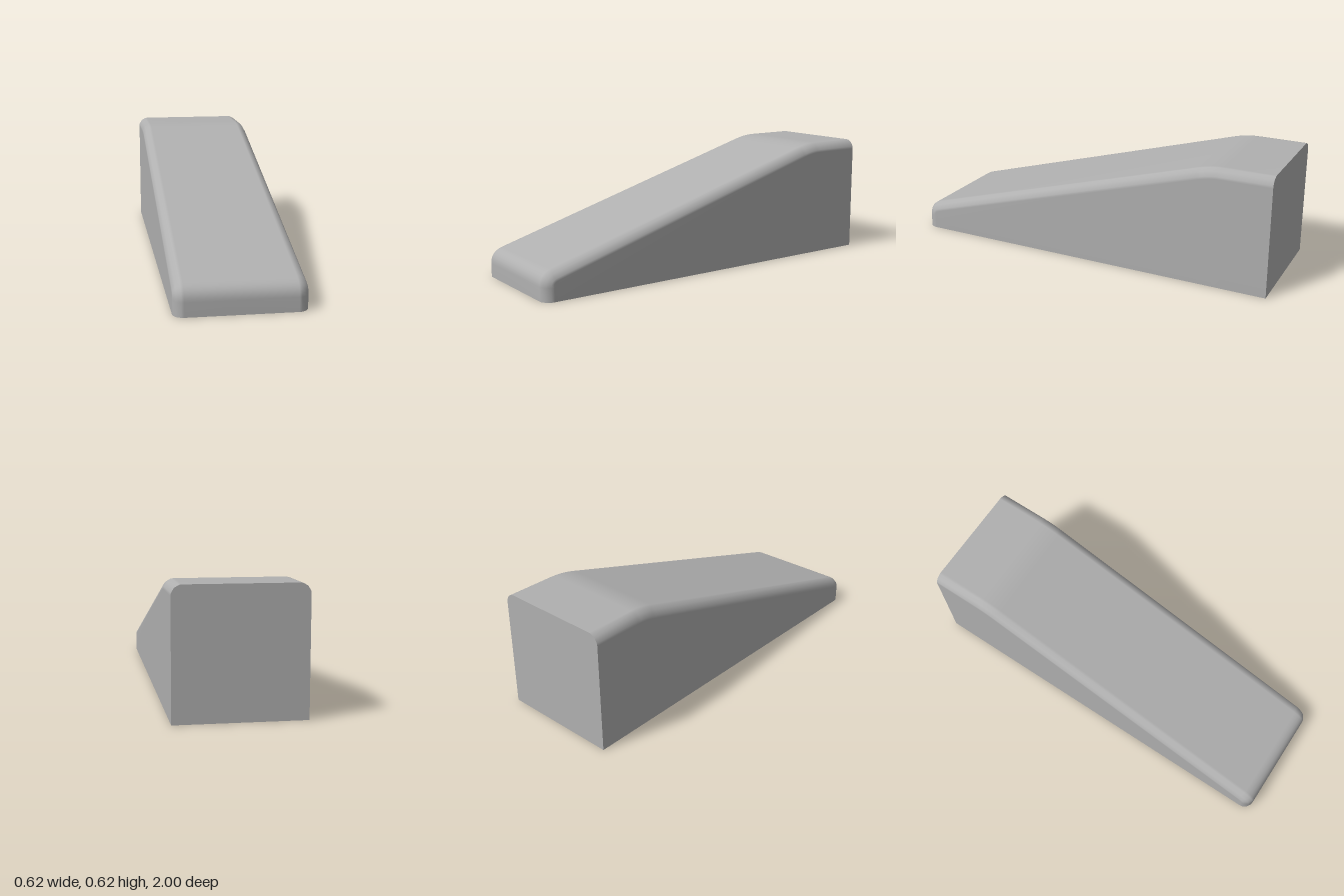
import * as THREE from 'three';

const W = 0.312, R = 0.05; // half width, edge rounding

// Side profile (z, y): front foot, rounded nose, long ramp, rounded crest, flat heel
function profilePoints() {
  const v = (z, y) => new THREE.Vector2(z, y);
  const nose = new THREE.QuadraticBezierCurve(v(1, 0.07), v(1, 0.131), v(0.937, 0.15));
  const crest = new THREE.QuadraticBezierCurve(v(-0.61, 0.6), v(-0.679, 0.62), v(-0.74, 0.62));
  const pts = [{ p: v(1, 0), t: v(0, 1) }];
  for (const c of [nose, crest]) {
    for (let i = 0; i <= 6; i++) pts.push({ p: c.getPoint(i / 6), t: c.getTangent(i / 6) });
  }
  pts.push({ p: v(-1, 0.62), t: v(-1, 0) });
  return pts;
}

export function createModel() {
  const group = new THREE.Group();
  const grey = new THREE.MeshStandardMaterial({ color: 0xb0b0b0, side: THREE.DoubleSide });
  grey.name = 'grey';

  // Each column across the width: x and inward offset of the profile
  const half = [0, 15, 45, 75, 90].map((deg) => {
    const a = THREE.MathUtils.degToRad(deg);
    return { x: W - R + R * Math.cos(a), inset: R * (1 - Math.sin(a)) };
  });
  half.unshift({ x: W, inset: R, floor: true });
  const columns = [
    ...half.map((c) => ({ ...c, x: -c.x })),
    ...half.slice().reverse(),
  ];

  // Open-bottomed skin: side walls, rounded edges, nose, ramp and heel top
  const rows = profilePoints();
  const pos = [], index = [], n = columns.length;
  rows.forEach(({ p, t }, i) => {
    columns.forEach(({ x, inset, floor }, j) => {
      const z = p.x - t.y * inset, y = p.y + t.x * inset;
      pos.push(x, floor ? 0 : y, z);
      if (i < rows.length - 1 && j < n - 1) {
        const a = i * n + j;
        index.push(a, a + 1, a + n, a + 1, a + n + 1, a + n);
      }
    });
  });
  const skin = new THREE.BufferGeometry();
  skin.setAttribute('position', new THREE.Float32BufferAttribute(pos, 3));
  skin.setIndex(index);
  skin.computeVertexNormals();
  const shell = new THREE.Mesh(skin, grey);
  shell.name = 'wedgeShell';
  group.add(shell);

  // Flat back panel with rounded top corners
  const outline = columns.map((c) => new THREE.Vector2(c.x, c.floor ? 0 : 0.62 - c.inset));
  const back = new THREE.Mesh(new THREE.ShapeGeometry(new THREE.Shape(outline)), grey);
  back.name = 'backPanel';
  back.rotation.y = Math.PI;
  back.position.z = -1;
  group.add(back);

  return group;
}
